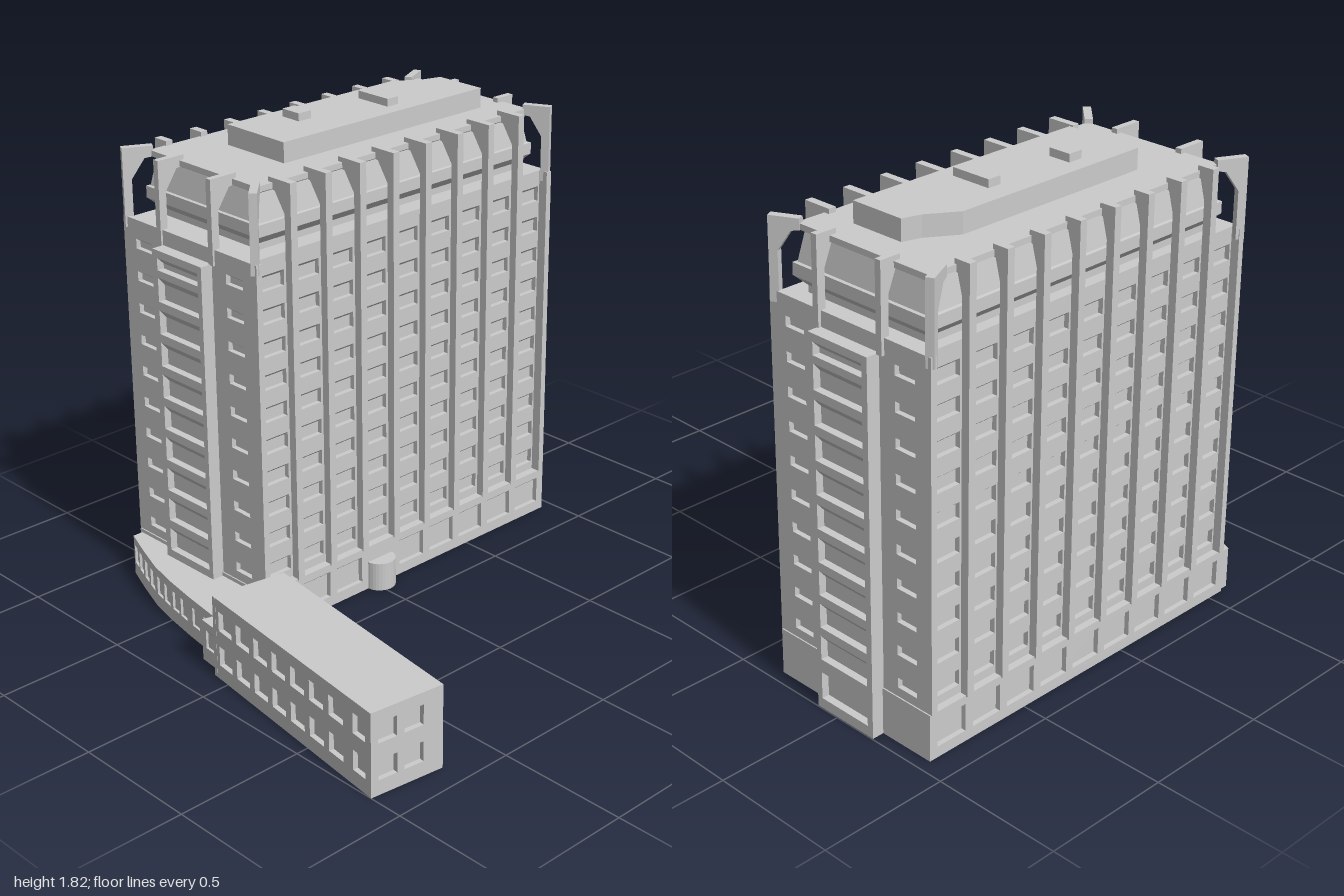
import * as THREE from 'three';
import { mergeGeometries } from 'three/addons/utils/BufferGeometryUtils.js';

const grey = new THREE.MeshStandardMaterial({ color: 0xcccccc, flatShading: true });
const greyDouble = new THREE.MeshStandardMaterial({ color: 0xcccccc, flatShading: true, side: THREE.DoubleSide });

function add(parent, name, geometry, material = grey) {
  const mesh = new THREE.Mesh(geometry, material);
  mesh.name = name;
  parent.add(mesh);
  return mesh;
}

function box(parent, name, x0, x1, y0, y1, z0, z1) {
  const g = new THREE.BoxGeometry(x1 - x0, y1 - y0, z1 - z0);
  g.translate((x0 + x1) / 2, (y0 + y1) / 2, (z0 + z1) / 2);
  return add(parent, name, g);
}

// plan points are [x, z]
const planShape = pts => new THREE.Shape(pts.map(([x, z]) => new THREE.Vector2(x, -z)));

// wall from a to b (outside on the right-hand side), with recessed windows
// window: { x, y, w, h, s } where s is the height of the sloping head
function wall(parent, name, a, b, y0, height, windows = [], depth = 0.02) {
  const dx = b[0] - a[0], dz = b[1] - a[1], width = Math.hypot(dx, dz);
  const group = new THREE.Group();
  group.name = name;
  group.position.set(a[0], y0, a[1]);
  group.rotation.y = Math.atan2(-dz, dx);
  parent.add(group);
  if (!windows.length) {
    add(group, 'plainWall', new THREE.PlaneGeometry(width, height).translate(width / 2, height / 2, 0));
    return;
  }
  const rect = (C, x, y, w, h) => new C([[x, y], [x + w, y], [x + w, y + h], [x, y + h]]
    .map(p => new THREE.Vector2(...p)));
  const shape = rect(THREE.Shape, 0, 0, width, height);
  shape.holes = windows.map(o => rect(THREE.Path, o.x, o.y, o.w, o.h));
  const skin = new THREE.ExtrudeGeometry(shape, { depth, bevelEnabled: false });
  add(group, 'wallSkin', skin.translate(0, 0, -depth));
  const parts = [];
  for (const { x, y, w, h, s = 0.016 } of windows) {
    parts.push(new THREE.PlaneGeometry(w, h).translate(x + w / 2, y + h / 2, -depth * 0.98));
    const head = new THREE.PlaneGeometry(w, s).translate(x + w / 2, y + h - s / 2, 0);
    head.attributes.position.setZ(2, -depth);
    head.attributes.position.setZ(3, -depth);
    head.computeVertexNormals();
    parts.push(head);
  }
  add(group, 'windows', mergeGeometries(parts));
}

// closed block with one window list per side
function block(parent, name, pts, y0, y1, windows = [], depth) {
  const group = new THREE.Group();
  group.name = name;
  parent.add(group);
  pts.forEach((p, i) => wall(group, 'wall', p, pts[(i + 1) % pts.length], y0, y1 - y0, windows[i], depth));
  for (const y of [y0, y1]) {
    const cap = new THREE.ShapeGeometry(planShape(pts)).rotateX(-Math.PI / 2).translate(0, y, 0);
    add(group, y === y0 ? 'floor' : 'roof', cap, greyDouble);
  }
}

const rectPlan = (x0, x1, z0, z1) => [[x0, z1], [x1, z1], [x1, z0], [x0, z0]];

// vertical fin whose top arm reaches inwards over the crown
function fin(parent, name, x, z, dir, reach, y0, thick = 0.03) {
  const s = new THREE.Shape([[0, y0], [0.032, y0], [0.032, 1.61], [0.032 + (reach - 0.032) * 0.6, 1.685],
    [reach, 1.69], [reach, 1.73], [0, 1.73]].map(p => new THREE.Vector2(...p)));
  const g = new THREE.ExtrudeGeometry(s, { depth: thick, bevelEnabled: false }).translate(0, 0, -thick / 2);
  const m = add(parent, name, g);
  m.position.set(x, 0, z);
  m.rotation.y = Math.atan2(-dir[1], dir[0]);
}

// rectangular loft through [y, inset] levels
function loft(x0, x1, z0, z1, levels) {
  const rings = levels.map(([y, i]) => rectPlan(x0 + i, x1 - i, z0 + i, z1 - i).map(([x, z]) => [x, y, z]));
  const pos = [];
  for (let r = 0; r < rings.length - 1; r++) for (let k = 0; k < 4; k++) {
    const n = (k + 1) % 4, [a, b, c, d] = [rings[r][k], rings[r][n], rings[r + 1][n], rings[r + 1][k]];
    pos.push(...a, ...b, ...c, ...a, ...c, ...d);
  }
  const [a, b, c, d] = rings.at(-1);
  pos.push(...a, ...b, ...c, ...a, ...c, ...d);
  const g = new THREE.BufferGeometry();
  g.setAttribute('position', new THREE.Float32BufferAttribute(pos, 3));
  g.computeVertexNormals();
  return g;
}

export function createModel() {
  const model = new THREE.Group();
  model.name = 'officeTower';
  const pitch = 0.165, bays = 9, floors = 10, rise = 0.126, firstBay = -0.47;
  const bayIds = [...Array(bays).keys()], floorIds = [...Array(floors).keys()];

  // ground floor
  const baseRow = bayIds.map(i => ({ x: firstBay + i * pitch + 0.57 - 0.065, y: 0.042, w: 0.13, h: 0.106 }));
  const backRow = baseRow.map(o => ({ ...o, x: 1.52 - o.x - o.w }));
  block(model, 'groundFloor', rectPlan(-0.57, 0.95, -0.9, -0.162), 0, 0.18,
    [baseRow.filter((_, i) => i !== 3), [], backRow, []]);
  const porch = add(model, 'entrancePorch', new THREE.CylinderGeometry(0.063, 0.063, 0.115, 32));
  porch.position.set(0.02, 0.0575, -0.165);

  // upper floors
  const grid = floorIds.flatMap(f => bayIds.map(i => (
    { x: firstBay + i * pitch + 0.565 - 0.0625, y: 0.033 + f * rise, w: 0.125, h: 0.06 })));
  const gridBack = grid.map(o => ({ ...o, x: 1.51 - o.x - o.w }));
  const ends = floorIds.flatMap(f => [-0.233, -0.745].map(z => (
    { x: -0.195 - z, y: 0.035 + f * 0.127, w: 0.09, h: 0.038, s: 0.014 })));
  const endsLeft = ends.map(o => ({ ...o, x: 0.677 - o.x - o.w }));
  block(model, 'upperFloors', rectPlan(-0.565, 0.945, -0.872, -0.195), 0.18, 1.47,
    [grid, ends, gridBack, endsLeft]);
  for (const x of [-0.565, 0.92]) {
    box(model, 'cornerPier', x, x + 0.025, 0.18, 1.47, -0.2, -0.157);
    box(model, 'cornerPier', x, x + 0.025, 0.18, 1.47, -0.905, -0.867);
  }

  // projecting stair bays on both ends
  const bayWindows = [{ x: 0.022, y: 0.04, w: 0.228, h: 0.105 },
    ...[...Array(9).keys()].map(f => ({ x: 0.022, y: 0.197 + f * 0.127, w: 0.228, h: 0.094, s: 0.035 })),
    { x: 0.022, y: 1.335, w: 0.228, h: 0.048, s: 0.03 }];
  block(model, 'rightEndBay', rectPlan(0.93, 0.997, -0.675, -0.4), 0, 1.412, [[], bayWindows], 0.03);
  block(model, 'leftEndBay', rectPlan(-0.615, -0.55, -0.675, -0.4), 0, 1.412,
    [[], [], [], bayWindows.map(o => ({ ...o, x: 0.275 - o.x - o.w }))], 0.03);

  // crown storey and roof
  add(model, 'crown', loft(-0.487, 0.913, -0.862, -0.238, [[1.46, 0.035], [1.495, 0.035], [1.53, 0],
    [1.575, 0], [1.577, 0.012], [1.68, 0.03], [1.69, 0.012], [1.712, 0.012]]));
  const pent = [[-0.23, -0.385], [0.78, -0.385], [0.78, -0.605], [0.71, -0.625], [0.6, -0.695], [-0.23, -0.695]];
  block(model, 'penthouse', pent, 1.7, 1.79);
  box(model, 'roofVent', -0.02, 0.04, 1.78, 1.82, -0.63, -0.54);
  box(model, 'roofVent', 0.345, 0.4, 1.78, 1.82, -0.61, -0.45);

  // facade fins
  for (let i = 1; i < bays; i++) {
    const x = firstBay + (i - 0.5) * pitch;
    fin(model, 'frontFin', x, -0.157, [0, -1], 0.115, 0.175);
    fin(model, 'backFin', x, -0.907, [0, 1], 0.065, 0.175);
  }
  for (const z of [-0.395, -0.687]) {
    fin(model, 'rightEndFin', 0.957, z, [-1, 0], 0.083, 1.41, 0.025);
    fin(model, 'leftEndFin', -0.573, z, [1, 0], 0.118, 1.41, 0.025);
  }
  fin(model, 'cornerFin', -0.565, -0.165, [1, -1], 0.14, 1.43);
  fin(model, 'cornerFin', 0.942, -0.165, [-0.5, -1], 0.11, 1.43);
  fin(model, 'cornerFin', -0.565, -0.898, [1, 0.5], 0.115, 1.43);
  fin(model, 'cornerFin', 0.942, -0.898, [-1, 0.5], 0.115, 1.43);

  // low curved link
  const small = (...xs) => xs.map(x => ({ x, y: 0.055, w: 0.05, h: 0.075, s: 0.012 }));
  const link = [[-0.85, -0.07], [-0.645, -0.04], [-0.62, -0.18], [-0.565, -0.18], [-0.565, -0.89], [-0.613, -0.89],
    [-0.66, -0.77], [-0.71, -0.63], [-0.74, -0.5], [-0.765, -0.36], [-0.79, -0.19], [-0.835, -0.2]];
  const pair = small(0.012, 0.074);
  block(model, 'link', link, 0, 0.165, [[], [{ x: 0.035, y: 0.058, w: 0.078, h: 0.075 }], [], [], [],
    pair, small(0.015, 0.083), pair, pair, small(0.02, 0.1), [],
    [{ x: 0.025, y: 0.058, w: 0.075, h: 0.075 }]], 0.01);

  // two-storey wing
  const rows = cols => [0.058, 0.2].flatMap(y => cols.map(([x, w]) => ({ x, y, w, h: 0.078, s: 0.012 })));
  const side = rows([[0.03, 0.07], ...[...Array(7).keys()].map(i => [0.155 + i * 0.1135, 0.083])]);
  const wing = [[-1, 0.865], [-0.705, 0.902], [-0.58, -0.035], [-0.875, -0.085]];
  block(model, 'wing', wing, 0, 0.325, [rows([[0.03, 0.077], [0.136, 0.08]]), side,
    [{ x: 0.08, y: 0.19, w: 0.17, h: 0.1 }], side.map(o => ({ ...o, x: 0.957 - o.x - o.w }))]);

  return model;
}
